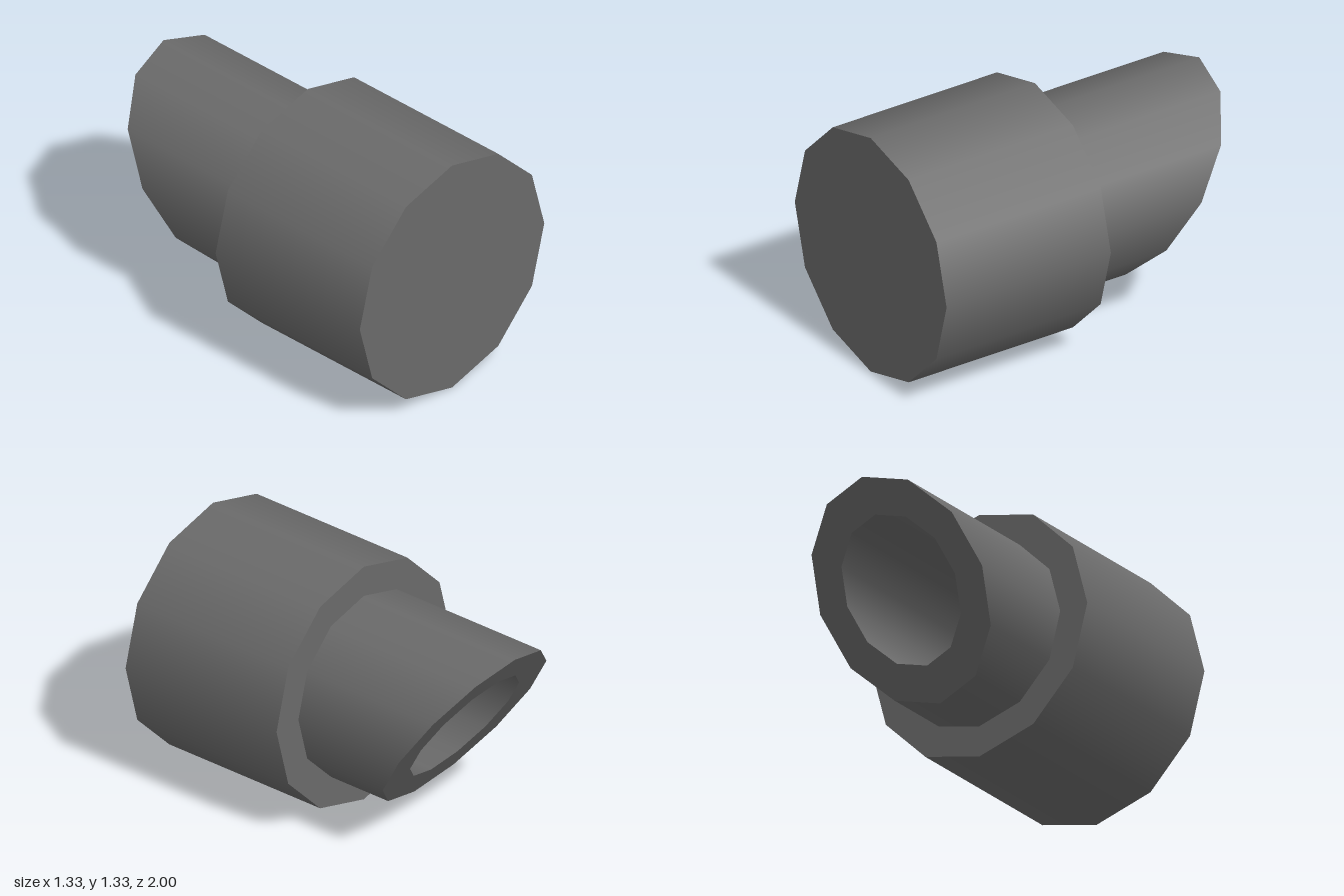
import * as THREE from 'three';

const SIDES = 12;
const R_BODY = 0.667, R_SPOUT = 0.5, R_BORE = 0.333;

// z of the slanted cut at a height measured from the axis
const cutZ = (y) => -0.667 - 0.667 * y;

// open wall along z; swapping the ends turns it inside out
function wall(radius, zFrom, zTo) {
  const profile = [new THREE.Vector2(radius, zFrom), new THREE.Vector2(radius, zTo)];
  return new THREE.LatheGeometry(profile, SIDES).rotateX(Math.PI / 2);
}

// slide every vertex behind the body onto the slanted cut
function slant(geometry) {
  const p = geometry.attributes.position;
  for (let i = 0; i < p.count; i++) {
    if (p.getZ(i) < -0.5) p.setZ(i, cutZ(p.getY(i)));
  }
  return geometry;
}

export function createModel() {
  const group = new THREE.Group();
  const grey = new THREE.MeshStandardMaterial({ color: 0x6a6a6a });
  grey.name = 'darkGrey';

  const add = (name, geometry) => {
    const mesh = new THREE.Mesh(geometry, grey);
    mesh.name = name;
    mesh.position.y = R_BODY;
    group.add(mesh);
  };

  // wide body with a closed front and a stepped back
  add('bodyWall', wall(R_BODY, 0, 1));
  add('bodyFront', new THREE.CircleGeometry(R_BODY, SIDES).translate(0, 0, 1));
  add('bodyShoulder', new THREE.RingGeometry(R_SPOUT, R_BODY, SIDES).rotateY(Math.PI));

  // narrower spout, cut at a slant
  add('spoutWall', slant(wall(R_SPOUT, -1, 0)));
  const rim = new THREE.RingGeometry(R_BORE, R_SPOUT, SIDES).rotateY(Math.PI).translate(0, 0, -1);
  slant(rim).computeVertexNormals();
  add('spoutRim', rim);

  // blind bore running into the body
  add('boreWall', slant(wall(R_BORE, 0.667, -1)));
  add('boreFloor', new THREE.CircleGeometry(R_BORE, SIDES).rotateY(Math.PI).translate(0, 0, 0.667));

  return group;
}
